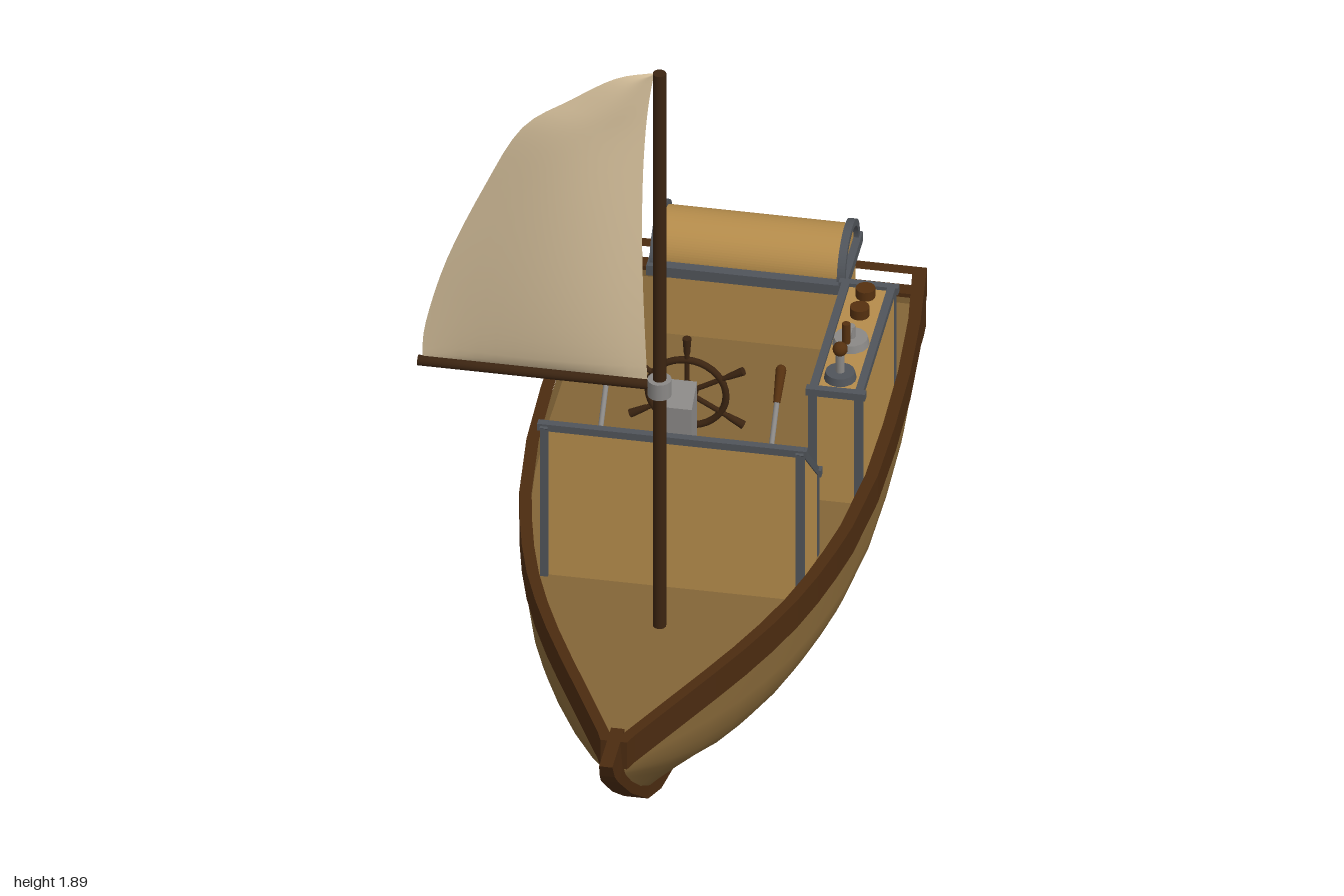
import * as THREE from 'three';

const mat = (name, color, side = THREE.FrontSide) => {
  const m = new THREE.MeshStandardMaterial({ color, side });
  m.name = name;
  return m;
};

const CX = 0.07, DECK = 0.385;

// Hull stations: z, half width at the rail, keel height
const STATIONS = [
  [-0.98, 0.362, 0.045], [-0.8, 0.384, 0.03], [-0.6, 0.397, 0.018], [-0.4, 0.4, 0.01],
  [-0.2, 0.396, 0.008], [0, 0.376, 0.01], [0.1, 0.357, 0.014], [0.2, 0.334, 0.02],
  [0.3, 0.305, 0.032], [0.4, 0.268, 0.05], [0.5, 0.225, 0.08], [0.6, 0.177, 0.125],
  [0.7, 0.127, 0.19], [0.8, 0.077, 0.27], [0.87, 0.042, 0.33], [0.9, 0.03, 0.36],
];
// Half cross-section from rail to keel, as fractions of width and depth
const SECTION = [[1, 1], [1, 0.72], [0.985, 0.64], [0.94, 0.55], [0.87, 0.46], [0.76, 0.37],
  [0.54, 0.26], [0.27, 0.12], [0.1, 0.02], [0, 0]];

function section(w, k, top = 0.42) {
  const half = SECTION.map(([x, y]) => [x * w, k + (top - k) * y]);
  return [...half.map(([x, y]) => [-x, y]), ...half.slice(0, -1).reverse()];
}

// Skin over rings of [x, y, z] points
function loft(rings, closed = false) {
  const n = rings[0].length, index = [];
  for (let i = 0; i < rings.length - 1; i++) {
    for (let j = 0; j < (closed ? n : n - 1); j++) {
      const a = i * n + j, b = i * n + (j + 1) % n;
      index.push(a, b, b + n, a, b + n, a + n);
    }
  }
  const g = new THREE.BufferGeometry();
  g.setAttribute('position', new THREE.Float32BufferAttribute(rings.flat(2), 3));
  g.setIndex(index);
  g.computeVertexNormals();
  return g;
}

const toShape = (pts) => new THREE.Shape(pts.map(([x, y]) => new THREE.Vector2(x, y)));
const extrude = (shape, depth) => new THREE.ExtrudeGeometry(shape, { depth, bevelEnabled: false, curveSegments: 20 });
// Extrude a (z, y) outline along x
const extrudeX = (shape, x0, x1) => extrude(shape, x1 - x0).rotateY(-Math.PI / 2).translate(x1, 0, 0);
// Extrude a (x, -z) outline upward
const extrudeY = (shape, y0, y1) => extrude(shape, y1 - y0).rotateX(-Math.PI / 2).translate(0, y0, 0);

export function createModel() {
  const lightWood = mat('light wood', 0xb58c4b);
  const hullWood = mat('hull wood', 0x836537, THREE.DoubleSide);
  const railWood = mat('rail wood', 0x4b2b10);
  const mastWood = mat('mast wood', 0x3b2411);
  const iron = mat('iron trim', 0x50545a);
  const silver = mat('silver metal', 0x8a8886);
  const canvas = mat('sail canvas', 0xd8c29d, THREE.DoubleSide);
  const grip = mat('grip brown', 0x55300f);

  const model = new THREE.Group();
  const sub = (name, parent = model) => {
    const g = new THREE.Group();
    g.name = name;
    parent.add(g);
    return g;
  };
  const add = (parent, name, geo, m, p = [0, 0, 0]) => {
    const mesh = new THREE.Mesh(geo, m);
    mesh.name = name;
    mesh.position.set(...p);
    parent.add(mesh);
    return mesh;
  };
  // Bar or rod between two points
  const between = (parent, name, a, b, m, r, square = false, r2 = r) => {
    const va = new THREE.Vector3(...a), vb = new THREE.Vector3(...b);
    const d = vb.clone().sub(va), len = d.length();
    const geo = square ? new THREE.BoxGeometry(r * 2, len + r * 2, r * 2)
      : new THREE.CylinderGeometry(r2, r, len, 14);
    const mesh = add(parent, name, geo, m);
    mesh.position.copy(va).add(vb).multiplyScalar(0.5);
    mesh.quaternion.setFromUnitVectors(new THREE.Vector3(0, 1, 0), d.normalize());
    return mesh;
  };

  // Hull
  const boat = sub('hull');
  boat.position.x = CX;
  add(boat, 'hullSkin', loft(STATIONS.map(([z, w, k]) =>
    section(w - 0.015, k).map(([x, y]) => [x, y, z]))), hullWood);

  const outline = (inset, z0, z1) => {
    const half = STATIONS.filter(([z]) => z <= z1).map(([z, w], i) => [w - inset, i ? -z : -z0]);
    return [...half, ...half.map(([x, y]) => [-x, y]).reverse()];
  };
  add(boat, 'deck', extrudeY(toShape(outline(0.02, -0.98, 0.9)), DECK - 0.01, DECK), hullWood);
  const rail = toShape(outline(0, -1, 0.9));
  rail.holes.push(new THREE.Path(toShape(outline(0.028, -0.97, 0.87)).getPoints()));
  add(boat, 'rail', extrudeY(rail, 0.397, 0.47), railWood);

  // Transom and its rim
  const rim = toShape(section(0.36, 0.035));
  rim.holes.push(new THREE.Path(toShape(section(0.333, 0.066, 0.41)).getPoints()));
  add(boat, 'transomRim', extrude(rim, 0.035), railWood, [0, 0, -0.998]);
  add(boat, 'transom', extrude(toShape(section(0.345, 0.05)), 0.01), hullWood, [0, 0, -0.985]);

  // Keel and stem: outer z, y, half width, inner z, y
  const keel = [
    [-0.995, 0.036, 0.05, -0.995, 0.07], [-0.6, 0.01, 0.05, -0.6, 0.04], [-0.2, 0, 0.05, -0.2, 0.03],
    [0.1, 0.005, 0.05, 0.1, 0.03], [0.3, 0.02, 0.045, 0.28, 0.05], [0.5, 0.065, 0.035, 0.47, 0.1],
    [0.62, 0.12, 0.027, 0.58, 0.15], [0.8, 0.26, 0.022, 0.76, 0.29], [0.95, 0.395, 0.02, 0.86, 0.4],
    [0.98, 0.43, 0.017, 0.85, 0.44], [1, 0.47, 0.015, 0.85, 0.47],
  ].map(([z, y, h, iz, iy]) => [[-h, y, z], [h, y, z], [h, iy, iz], [-h, iy, iz]]);
  const cap = (ring) => ring.map(() => [0, (ring[0][1] + ring[2][1]) / 2, (ring[0][2] + ring[2][2]) / 2]);
  const keelGeo = loft([cap(keel[0]), ...keel, cap(keel.at(-1))], true).toNonIndexed();
  keelGeo.computeVertexNormals();
  add(boat, 'keel', keelGeo, railWood);

  // Mast, boom and sail
  const rig = sub('rig');
  between(rig, 'mast', [CX, DECK, 0.33], [CX, 1.89, 0.33], mastWood, 0.015);
  between(rig, 'boom', [-0.475, 1.037, 0.327], [CX, 1.037, 0.327], mastWood, 0.012);
  between(rig, 'mastCollar', [CX, 1.015, 0.33], [CX, 1.057, 0.33], silver, 0.027);
  const leech = [[-0.465, 1.05], [-0.458, 1.14], [-0.41, 1.32], [-0.325, 1.53], [-0.24, 1.7],
    [-0.13, 1.79], [-0.03, 1.86], [0.05, 1.885]];
  const leechCurve = new THREE.SplineCurve(leech.map((p) => new THREE.Vector2(...p)));
  const sailRows = Array.from({ length: 29 }, (_, i) => {
    const p = leechCurve.getPoint(i / 28), v = (p.y - 1.05) / 0.835;
    const luff = 0.042 - 0.012 * Math.sin(Math.PI * v) + 0.016 * v ** 8;
    return Array.from({ length: 13 }, (_, j) => {
      const u = j / 12;
      const belly = 0.045 * Math.sin(Math.PI * u) * Math.sqrt(Math.max(0, Math.sin(Math.PI * v)));
      return [p.x + (luff - p.x) * u, p.y, 0.327 + belly];
    });
  });
  add(rig, 'sail', loft(sailRows), canvas);

  // Cabinet from a (z, y) outline, with iron trim along its edges above the deck
  const cabinet = (name, pts, x0, x1, t = 0.009) => {
    const g = sub(name);
    add(g, name + 'Body', extrudeX(toShape(pts), x0, x1), lightWood);
    pts.forEach(([z, y], i) => {
      const [z2, y2] = pts[(i + 1) % pts.length];
      for (const x of [x0 + t * 0.7, x1 - t * 0.7]) {
        if (y > DECK || y2 > DECK) between(g, 'trim', [x, y, z], [x, y2, z2], iron, t, true);
      }
      if (y > DECK) between(g, 'trim', [x0, y, z], [x1, y, z], iron, t, true);
    });
    return g;
  };

  // Steering console
  const helm = cabinet('console', [[0, DECK], [0.183, DECK], [0.183, 0.79], [0, 0.61]], -0.222, 0.367);
  for (const x of [-0.12, 0.265]) {
    // Throttle levers on sloped slot plates
    const lever = sub('throttle', helm);
    between(lever, 'slotPlate', [x, 0.635, 0.02], [x, 0.73, 0.117], iron, 0.013);
    for (const [y, z] of [[0.635, 0.02], [0.68, 0.068], [0.73, 0.117]]) {
      add(lever, 'slotBoss', new THREE.SphereGeometry(0.018, 14, 10), iron, [x, y, z]);
    }
    between(lever, 'rod', [x, 0.66, 0.03], [x, 0.755, -0.06], silver, 0.006);
    between(lever, 'handle', [x, 0.748, -0.052], [x, 0.8, -0.105], grip, 0.008, false, 0.012);
    add(lever, 'handleEnd', new THREE.SphereGeometry(0.012, 12, 8), grip, [x, 0.8, -0.105]);
  }
  const post = [[0.03, 0.66], [0.095, 0.7], [0.095, 0.81], [0.03, 0.842]];
  add(helm, 'wheelPost', extrudeX(toShape(post), 0.04, 0.1), silver);
  between(helm, 'axle', [CX, 0.78, 0.04], [CX, 0.78, -0.025], iron, 0.012);

  // Ship's wheel
  const wheel = sub('wheel', helm);
  wheel.position.set(CX, 0.78, -0.012);
  add(wheel, 'wheelRim', new THREE.TorusGeometry(0.088, 0.008, 10, 36), mastWood);
  add(wheel, 'hub', new THREE.CylinderGeometry(0.024, 0.024, 0.026, 18).rotateX(Math.PI / 2), mastWood);
  for (let i = 0; i < 6; i++) {
    const a = Math.PI / 6 + i * Math.PI / 3;
    const at = (r) => [Math.cos(a) * r, Math.sin(a) * r, 0];
    between(wheel, 'spoke', at(0.01), at(0.11), mastWood, 0.006);
    between(wheel, 'spokeHandle', at(0.105), at(0.147), mastWood, 0.007, false, 0.01);
  }

  // Side control box
  const box = cabinet('controlBox',
    [[-0.615, DECK], [-0.203, DECK], [-0.203, 0.682], [-0.615, 0.682]], 0.313, 0.429);
  const X = 0.37;
  between(box, 'leverBase', [X, 0.68, -0.262], [X, 0.7, -0.262], iron, 0.037, false, 0.033);
  between(box, 'leverRod', [X, 0.69, -0.262], [X, 0.755, -0.262], silver, 0.01);
  add(box, 'leverBall', new THREE.SphereGeometry(0.017, 16, 12), grip, [X, 0.76, -0.262]);
  between(box, 'crankBase', [X, 0.68, -0.395], [X, 0.7, -0.395], silver, 0.042, false, 0.038);
  between(box, 'crankPost', [X, 0.69, -0.395], [X, 0.73, -0.395], silver, 0.01);
  between(box, 'crankArm', [X, 0.725, -0.4], [X, 0.725, -0.335], silver, 0.006);
  between(box, 'crankHandle', [X, 0.725, -0.337], [X, 0.777, -0.337], grip, 0.009);
  for (const z of [-0.505, -0.578]) {
    between(box, 'knob', [X, 0.68, z], [X, 0.705, z], grip, 0.022);
  }

  // Chest with arched lid
  const chest = sub('chest');
  add(chest, 'chestBody', extrudeX(toShape([[-0.943, DECK], [-0.768, DECK], [-0.757, 0.56], [-0.953, 0.56]]),
    -0.14, 0.28), lightWood);
  add(chest, 'chestRim', new THREE.BoxGeometry(0.45, 0.026, 0.214), iron, [CX, 0.567, -0.853]);
  const arch = (rz, ry) => new THREE.Shape().absellipse(-0.855, 0.578, rz, ry, 0, Math.PI, false, 0);
  add(chest, 'lid', extrudeX(arch(0.085, 0.076), -0.138, 0.278), lightWood);
  for (const x of [-0.15, 0.272]) {
    const band = arch(0.096, 0.087);
    band.absellipse(-0.855, 0.578, 0.08, 0.071, Math.PI, 0, true, 0);
    add(chest, 'lidBand', extrudeX(band, x, x + 0.018), iron);
  }
  return model;
}
